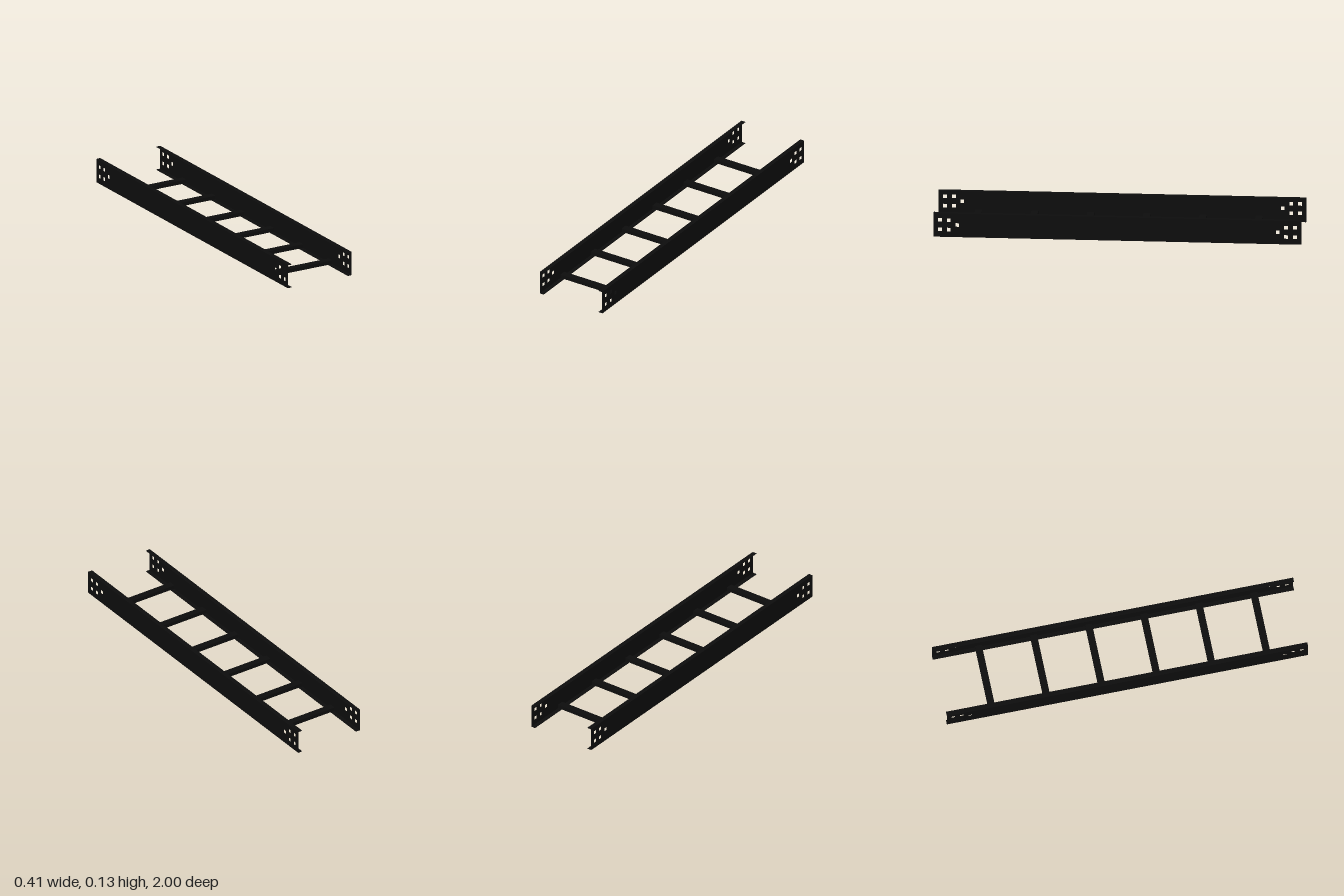
import * as THREE from 'three';

const LENGTH = 2, HEIGHT = 0.134, HALF_WIDTH = 0.203, FLANGE = 0.025, T = 0.0026;

const black = new THREE.MeshStandardMaterial({ color: 0x0d0d0d });
black.name = 'black coated steel';

function box(name, w, h, d, x, y, z) {
  const mesh = new THREE.Mesh(new THREE.BoxGeometry(w, h, d), black);
  mesh.name = name;
  mesh.position.set(x, y, z);
  return mesh;
}

// Upright side plate with five square splice holes at each end
function webGeometry() {
  const shape = new THREE.Shape();
  const rect = (path, x0, y0, x1, y1) =>
    path.moveTo(x0, y0).lineTo(x1, y0).lineTo(x1, y1).lineTo(x0, y1).closePath();
  rect(shape, -LENGTH / 2, 0, LENGTH / 2, HEIGHT);
  const holes = [[0.965, 0.096], [0.965, 0.042], [0.917, 0.096], [0.917, 0.042], [0.871, 0.069]];
  const r = 0.0105;
  for (const end of [-1, 1]) {
    for (const [z, y] of holes) {
      const hole = new THREE.Path();
      rect(hole, end * z - r, y - r, end * z + r, y + r);
      shape.holes.push(hole);
    }
  }
  const geometry = new THREE.ExtrudeGeometry(shape, { depth: T, bevelEnabled: false });
  geometry.translate(0, 0, -T / 2);
  geometry.rotateY(Math.PI / 2);
  return geometry;
}

// Side rail: web with inward top and bottom flanges
function createRail(side, name, geometry) {
  const rail = new THREE.Group();
  rail.name = name;
  const web = new THREE.Mesh(geometry, black);
  web.name = 'railWeb';
  web.position.x = side * (HALF_WIDTH - T / 2);
  const x = side * (HALF_WIDTH - T - (FLANGE - T) / 2);
  rail.add(
    web,
    box('topFlange', FLANGE - T, T, LENGTH, x, HEIGHT - T / 2, 0),
    box('bottomFlange', FLANGE - T, T, LENGTH, x, T / 2, 0)
  );
  return rail;
}

// Rung: lipped channel with its slot facing down
function rungGeometry() {
  const w = 0.019, h = 0.021, lip = 0.009, length = 2 * (HALF_WIDTH - T);
  const shape = new THREE.Shape([
    [-w, 0], [-lip, 0], [-lip, T], [-w + T, T], [-w + T, h - T], [w - T, h - T],
    [w - T, T], [lip, T], [lip, 0], [w, 0], [w, h], [-w, h],
  ].map(([x, y]) => new THREE.Vector2(x, y)));
  const geometry = new THREE.ExtrudeGeometry(shape, { depth: length, bevelEnabled: false });
  geometry.translate(0, 0, -length / 2);
  geometry.rotateY(Math.PI / 2);
  return geometry;
}

export function createModel() {
  const model = new THREE.Group();
  model.name = 'cableLadder';

  const web = webGeometry();
  model.add(createRail(1, 'leftRail', web), createRail(-1, 'rightRail', web));

  // Six evenly spaced rungs resting on the bottom flanges
  const rung = rungGeometry();
  for (let i = 0; i < 6; i++) {
    const mesh = new THREE.Mesh(rung, black);
    mesh.name = 'rung' + (i + 1);
    mesh.position.set(0, 0.0036, -0.743 + i * 0.305);
    model.add(mesh);
  }
  return model;
}
